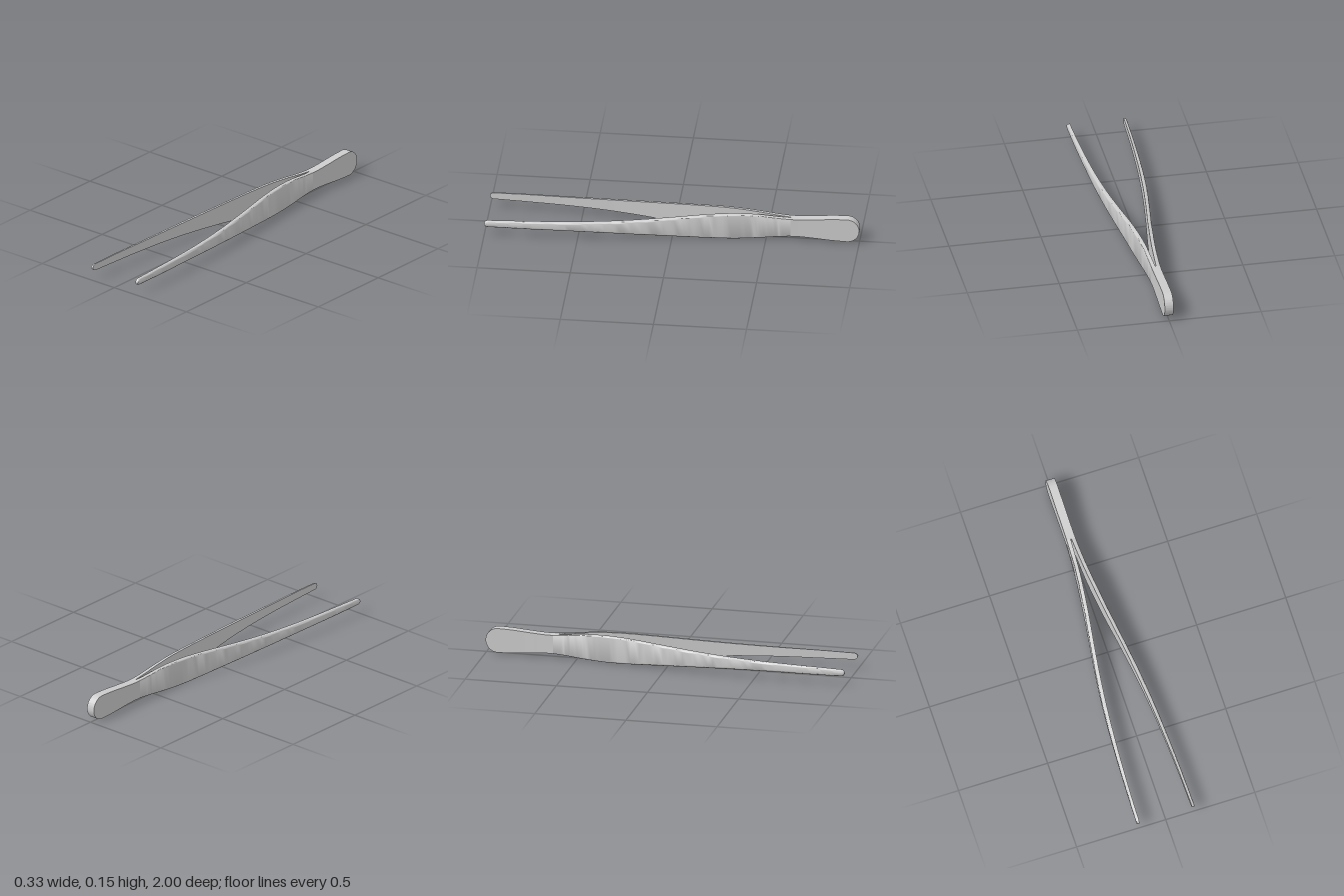
import * as THREE from 'three';
import { toCreasedNormals } from 'three/addons/utils/BufferGeometryUtils.js';

const CY = 0.074, SPLIT = -0.63, STEPS = 90;

// Smooth curve through [z, value] knots
function smooth(k) {
  const slope = (i) => {
    const a = k[Math.max(i - 1, 0)], b = k[Math.min(i + 1, k.length - 1)];
    return (b[1] - a[1]) / (b[0] - a[0]);
  };
  return (z) => {
    let i = 0;
    while (i < k.length - 2 && z > k[i + 1][0]) i++;
    const w = k[i + 1][0] - k[i][0];
    const t = THREE.MathUtils.clamp((z - k[i][0]) / w, 0, 1), t2 = t * t, t3 = t2 * t;
    return (2 * t3 - 3 * t2 + 1) * k[i][1] + (t3 - 2 * t2 + t) * w * slope(i)
      + (3 * t2 - 2 * t3) * k[i + 1][1] + (t3 - t2) * w * slope(i + 1);
  };
}

// Half height, outer and inner faces, and outer edge rounding along the length
const bodyHeight = smooth([[-1, 0.068], [-0.92, 0.067], [-0.85, 0.064], [-0.75, 0.056], [-0.66, 0.051],
  [-0.58, 0.055], [-0.45, 0.068], [-0.33, 0.073], [-0.2, 0.069], [0, 0.055], [0.2, 0.041],
  [0.4, 0.031], [0.6, 0.025], [0.8, 0.022], [1, 0.018]]);
const outer = smooth([[-1, 0.024], [-0.75, 0.024], [-0.63, 0.025], [-0.5, 0.031], [-0.4, 0.039],
  [-0.2, 0.063], [0, 0.092], [0.2, 0.119], [0.4, 0.138], [0.6, 0.150], [0.8, 0.158], [1, 0.163]]);
const inner = smooth([[-0.63, 0.002], [-0.5, 0.010], [-0.4, 0.018], [-0.2, 0.042], [0, 0.071],
  [0.2, 0.097], [0.4, 0.117], [0.6, 0.131], [0.8, 0.141], [1, 0.147]]);
const rounding = smooth([[-0.63, 0.001], [-0.4, 0.006], [-0.1, 0.011], [0.4, 0.012], [1, 0.012]]);

// Round the ends in side view
function halfHeight(z) {
  const capped = (d, r) => (d < r ? Math.sqrt(Math.max(0, 1 - ((r - d) / r) ** 2)) : 1);
  return Math.max(0.002, bodyHeight(z) * capped(z + 1, 0.068) * capped(1 - z, 0.02));
}

function armSection(z, side) {
  const h = halfHeight(z), xo = outer(z), xi = inner(z);
  const r = rounding(z), ry = Math.min(r, h * 0.9);
  const pts = [[xi, -h]];
  for (const s of [-1, 1]) {
    for (let i = 0; i <= 6; i++) {
      const a = (s < 0 ? i - 6 : i) * Math.PI / 12;
      pts.push([xo - r + r * Math.cos(a), s * (h - ry) + ry * Math.sin(a)]);
    }
  }
  pts.push([xi, h]);
  return side > 0 ? pts : pts.map(([x, y]) => [-x, y]).reverse();
}

function handleSection(z) {
  const h = halfHeight(z), x = outer(z);
  return [[-x, -h], [x, -h], [x, h], [-x, h]];
}

// Skin a run of sections, with stations packed closer at both ends
function loft(section, z0, z1) {
  const pos = [], index = [];
  let n = 0;
  for (let i = 0; i <= STEPS; i++) {
    const z = z0 + (z1 - z0) * (1 - Math.cos(Math.PI * i / STEPS)) / 2;
    const ring = section(z);
    n = ring.length;
    for (const [x, y] of ring) pos.push(x, y + CY, z);
  }
  for (let i = 0; i < STEPS; i++) {
    for (let j = 0; j < n; j++) {
      const a = i * n + j, b = i * n + (j + 1) % n;
      index.push(a, b, b + n, a, b + n, a + n);
    }
  }
  const last = STEPS * n;
  for (let j = 1; j < n - 1; j++) {
    index.push(0, j + 1, j, last, last + j, last + j + 1);
  }
  const geo = new THREE.BufferGeometry();
  geo.setAttribute('position', new THREE.Float32BufferAttribute(pos, 3));
  geo.setIndex(index);
  return toCreasedNormals(geo, 0.7);
}

export function createModel() {
  const group = new THREE.Group();
  group.name = 'tweezers';
  const material = new THREE.MeshStandardMaterial({ color: 0xcccccc });
  const add = (name, geo) => {
    const mesh = new THREE.Mesh(geo, material);
    mesh.name = name;
    group.add(mesh);
  };

  // Solid joined handle at the back
  add('handle', loft(handleSection, -1, SPLIT));

  // Two arms spreading forward to the tips
  add('leftArm', loft((z) => armSection(z, 1), SPLIT, 1));
  add('rightArm', loft((z) => armSection(z, -1), SPLIT, 1));
  return group;
}
